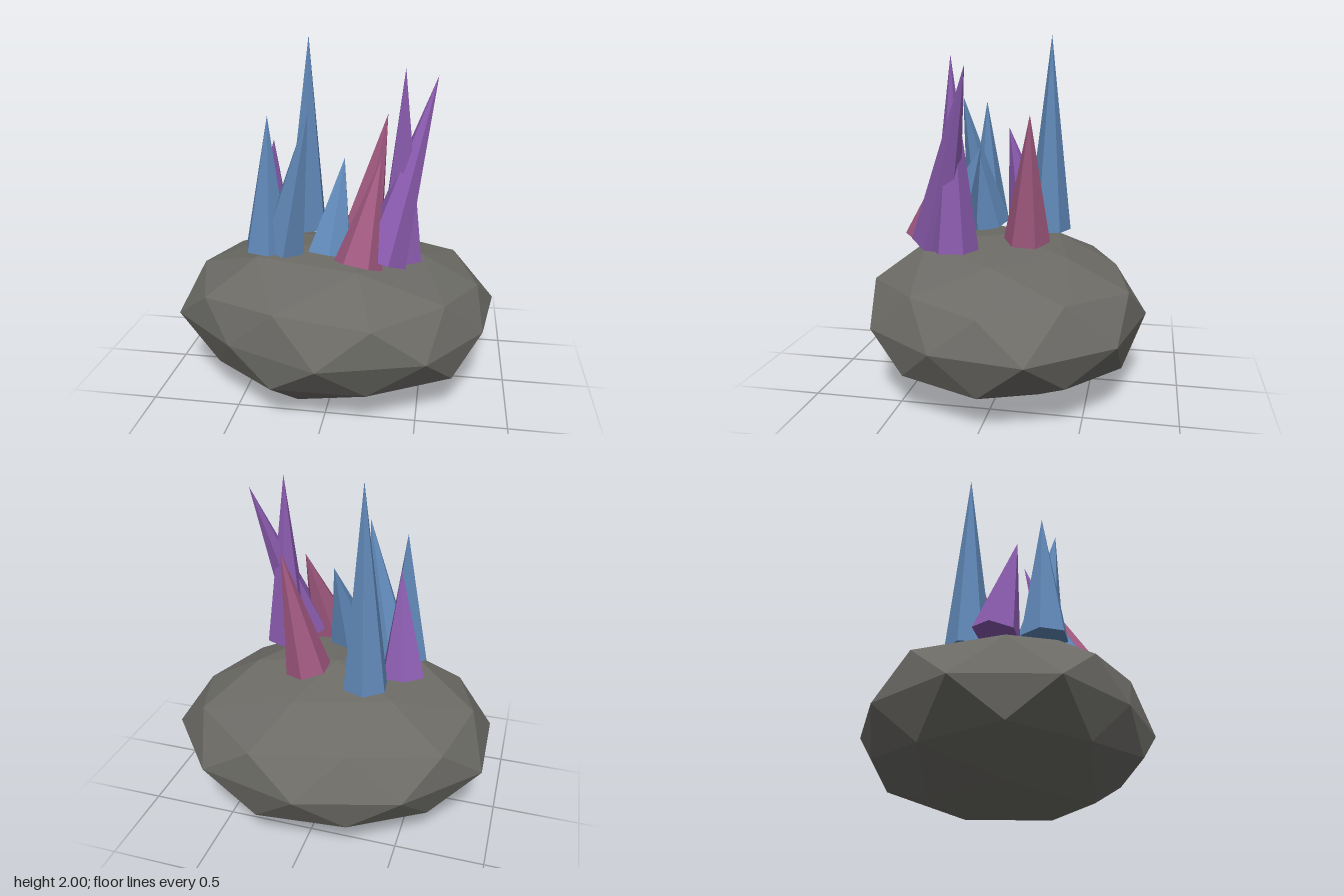
import * as THREE from 'three';

const flat = (name, color) => {
  const m = new THREE.MeshStandardMaterial({ color });
  m.name = name;
  m.flatShading = true;
  return m;
};

// Faceted boulder: rings of a once-divided icosahedron, each corner pushed in or out a little
function rockGeometry() {
  const R = [0.95, 0.43, 0.81];
  const ring = (startDeg, stepDeg, heights, scales) => scales.map((s, i) => {
    const a = THREE.MathUtils.degToRad(startDeg + stepDeg * i);
    const h = heights[i % heights.length], r = Math.sqrt(1 - h * h);
    return new THREE.Vector3(Math.cos(a) * r * s * R[0], h * s * R[1], Math.sin(a) * r * s * R[2]);
  });
  const top = new THREE.Vector3(0, 0.43, 0);
  const bottom = new THREE.Vector3(0, -0.43, 0);
  const A = ring(0, 72, [0.851], [0.98, 1.1, 1.06, 0.99, 0.92]);
  const B = ring(0, 36, [0.447, 0.526], [0.96, 0.97, 1.04, 1.0, 1.0, 1.02, 1.05, 0.95, 1.04, 1.03]);
  const C = ring(18, 36, [0], [0.94, 0.99, 1.0, 0.915, 1.01, 1.02, 0.99, 1.0, 1.03, 1.02]);
  const D = ring(0, 36, [-0.526, -0.447], [1.0, 1.0, 0.97, 1.0, 0.97, 1.03, 1.0, 1.0, 1.05, 1.0]);
  const E = ring(36, 72, [-0.851], [1.01, 1.09, 1.0, 1.0, 1.0]);

  const pos = [];
  // Add a triangle, turned to face outwards
  const tri = (a, b, c) => {
    const n = b.clone().sub(a).cross(c.clone().sub(a));
    const out = n.dot(a.clone().add(b).add(c)) > 0;
    for (const v of out ? [a, b, c] : [a, c, b]) pos.push(v.x, v.y + 0.43, v.z);
  };
  for (let i = 0; i < 5; i++) {
    const n = (i + 1) % 5;
    // crown
    tri(top, A[i], A[n]);
    tri(A[i], B[2 * i], B[2 * i + 1]);
    tri(A[i], B[(2 * i + 9) % 10], B[2 * i]);
    tri(A[i], B[2 * i + 1], A[n]);
    // underside
    tri(bottom, E[i], E[n]);
    tri(E[i], D[2 * i], D[2 * i + 1]);
    tri(E[i], D[2 * i + 1], D[(2 * i + 2) % 10]);
    tri(E[i], D[(2 * i + 2) % 10], E[n]);
  }
  // belt
  for (let j = 0; j < 10; j++) {
    const n = (j + 1) % 10;
    for (const S of [B, D]) {
      tri(S[j], S[n], C[j]);
      tri(C[j], C[n], S[n]);
    }
  }
  const g = new THREE.BufferGeometry();
  g.setAttribute('position', new THREE.Float32BufferAttribute(pos, 3));
  g.computeVertexNormals();
  return g;
}

// Six-sided spike from the centre of its base to its tip
function crystal(name, material, base, tip, turn) {
  const from = new THREE.Vector3(...base), to = new THREE.Vector3(...tip);
  const axis = to.clone().sub(from), length = axis.length();
  const g = new THREE.ConeGeometry(0.132, length, 6);
  g.translate(0, length / 2, 0);
  g.rotateY(turn);
  const mesh = new THREE.Mesh(g, material);
  mesh.name = name;
  mesh.position.copy(from);
  mesh.quaternion.setFromUnitVectors(new THREE.Vector3(0, 1, 0), axis.normalize());
  return mesh;
}

export function createModel() {
  const group = new THREE.Group();
  group.name = 'crystalRock';

  const stone = flat('stone grey', 0x6c6b66);
  const blue = flat('crystal blue', 0x6088b8);
  const purple = flat('crystal purple', 0x8a5bae);
  const pink = flat('crystal pink', 0xa0587f);

  const rock = new THREE.Mesh(rockGeometry(), stone);
  rock.name = 'rock';
  group.add(rock);

  // name, colour, base centre, tip, turn about the axis
  const crystals = [
    ['tallBlueCrystal', blue, [-0.235, 0.85, -0.21], [-0.21, 2.0, -0.22], 0.12],
    ['leftBlueCrystal', blue, [-0.38, 0.85, 0.2], [-0.36, 1.61, 0.2], 0.3],
    ['leaningBlueCrystal', blue, [-0.29, 0.86, 0.18], [-0.12, 1.65, 0.29], 0.2],
    ['shortBlueCrystal', blue, [0.0, 0.88, 0.32], [0.055, 1.38, 0.145], 0.1],
    ['backPinkCrystal', pink, [0.125, 0.86, -0.135], [0.26, 1.57, -0.17], 0.0],
    ['frontPinkCrystal', pink, [0.17, 0.87, 0.43], [0.265, 1.41, 0.25], 0.5],
    ['smallPurpleCrystal', purple, [-0.415, 0.86, -0.055], [-0.36, 1.45, 0.06], 0.25],
    ['uprightPurpleCrystal', purple, [0.375, 0.85, 0.22], [0.38, 1.88, 0.225], 0.1],
    ['leaningPurpleCrystal', purple, [0.29, 0.87, 0.35], [0.545, 1.83, 0.11], 0.3],
  ];
  for (const c of crystals) group.add(crystal(...c));
  return group;
}
